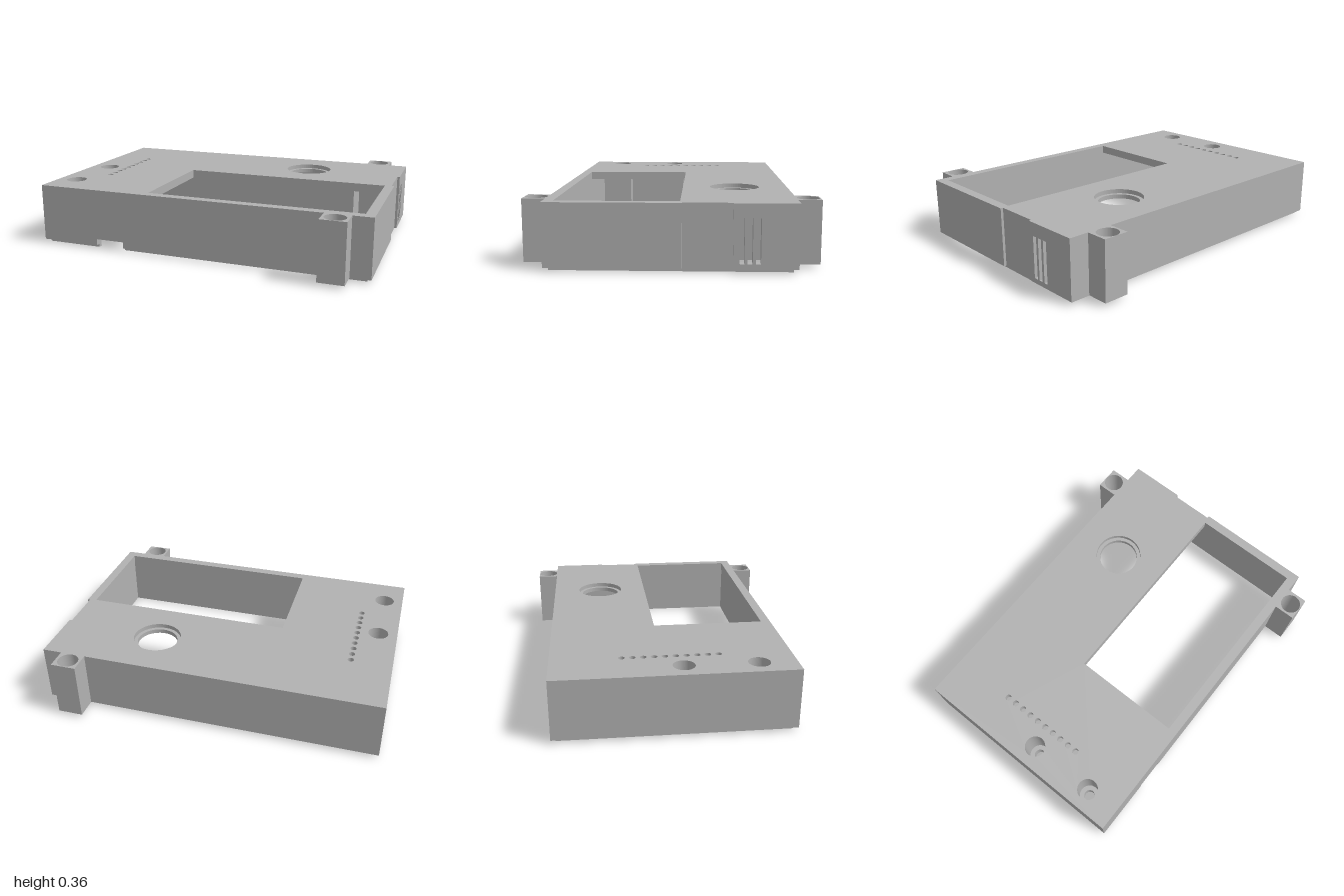
import * as THREE from 'three';

export function createModel() {
  const root = new THREE.Group();
  root.name = 'enclosureLid';
  const grey = new THREE.MeshStandardMaterial({ color: 0xb2b2b2 });
  grey.name = 'plasticGrey';

  const TOP = 0.36, CEIL = 0.31, RIM = 0.02, SEAT = 0.1;

  const add = (name, geo) => {
    const m = new THREE.Mesh(geo, grey);
    m.name = name;
    root.add(m);
    return m;
  };
  const box = (name, x0, x1, y0, y1, z0, z1) =>
    add(name, new THREE.BoxGeometry(x1 - x0, y1 - y0, z1 - z0)
      .translate((x0 + x1) / 2, (y0 + y1) / 2, (z0 + z1) / 2));
  const poly = (pts, Type = THREE.Shape) => new Type(pts.map(p => new THREE.Vector2(...p)));
  const rect = (a0, a1, b0, b1, Type) => poly([[a0, b0], [a1, b0], [a1, b1], [a0, b1]], Type);
  const circle = (x, z, r) => new THREE.Path().absarc(x, -z, r, 0, Math.PI * 2, true);
  const extrude = (shape, depth) =>
    new THREE.ExtrudeGeometry(shape, { depth, bevelEnabled: false, curveSegments: 32 });
  // Plan shapes are drawn as (x, -z) and raised from y0 to y1
  const slab = (name, shape, y0, y1) =>
    add(name, extrude(shape, y1 - y0).rotateX(-Math.PI / 2).translate(0, y0, 0));

  const innerBosses = [[-0.885, 0.05], [-0.885, 0.45]];
  const outerBosses = [[0.81, -0.717], [0.81, 0.717]];

  // Top plate in two layers, so the round opening gets a stepped ledge
  const plate = (name, y0, y1, openingRadius) => {
    const s = poly([[-1, -0.655], [1, -0.655], [1, 0.06], [0.985, 0.06],
      [0.985, 0.32], [1, 0.32], [1, 0.655], [-1, 0.655]]);
    s.holes.push(rect(-0.31, 0.945, -0.6, 0.05, THREE.Path));
    s.holes.push(circle(0.4, -0.35, openingRadius));
    for (const [x, z] of innerBosses) s.holes.push(circle(x, z, 0.06));
    for (let i = 0; i < 10; i++) s.holes.push(circle(-0.76, -0.27 + i * 0.0583, 0.018));
    slab(name, s, y0, y1);
  };
  plate('topPlateUpper', 0.335, TOP, 0.142);
  plate('topPlateLower', CEIL, 0.335, 0.12);

  // Screw bosses with a wide bore above a narrow screw hole
  const boss = (name, x, z, x0, x1, z0, z1, top) => {
    for (const [part, r, y0, y1] of [['Foot', 0.032, RIM, SEAT], ['Sleeve', 0.06, SEAT, top]]) {
      const s = rect(x0, x1, -z1, -z0);
      s.holes.push(circle(x, z, r));
      slab(name + part, s, y0, y1);
    }
  };
  for (const [x, z] of innerBosses)
    boss('innerBoss', x, z, -0.955, -0.82, z - 0.067, z + 0.067, CEIL);
  for (const [x, z] of outerBosses) {
    const edges = [Math.sign(z) * 0.65, Math.sign(z) * 0.78].sort((a, b) => a - b);
    boss('outerBoss', x, z, 0.737, 0.885, ...edges, TOP);
  }

  // Front wall with a cable notch in its lower edge
  add('frontWall', extrude(poly([[-1, RIM], [-0.635, RIM], [-0.635, 0.058], [-0.46, 0.058],
    [-0.46, RIM], [1, RIM], [1, CEIL], [-1, CEIL]]), 0.05).translate(0, 0, 0.605));
  box('backWall', -1, 1, RIM, CEIL, -0.655, -0.605);
  box('rightWall', -1, -0.95, RIM, CEIL, -0.605, 0.605);

  // Left wall: plain part, shallow recess and vented part
  box('leftWall', 0.95, 1, RIM, CEIL, -0.06, 0.605);
  box('leftRecess', 0.95, 0.985, RIM, CEIL, -0.32, -0.06);
  const vent = rect(0.32, 0.605, RIM, CEIL);
  for (const z of [0.364, 0.406, 0.448])
    vent.holes.push(rect(z - 0.013, z + 0.013, 0.048, 0.285, THREE.Path));
  add('leftVentWall', extrude(vent, 0.05).rotateY(Math.PI / 2).translate(0.95, 0, 0));

  // Locating lip below the walls
  box('lipBack', -0.975, 0.975, 0.002, RIM, -0.63, -0.605);
  box('lipFront', -0.975, -0.635, 0.002, RIM, 0.605, 0.63);
  box('lipFront', -0.46, 0.975, 0.002, RIM, 0.605, 0.63);
  for (const s of [-1, 1])
    box('lipSide', s * 0.9625 - 0.0125, s * 0.9625 + 0.0125, 0.002, RIM, -0.605, 0.605);

  // Inner divider, and the post, arm and pin of the press lever
  box('divider', 0.695, 0.715, 0, CEIL, -0.51, -0.31);
  box('leverPost', -0.7, -0.64, 0.045, CEIL, -0.15, -0.07);
  box('leverArm', -0.7, -0.46, 0.045, 0.063, -0.15, -0.07);
  add('leverPin', new THREE.CylinderGeometry(0.025, 0.025, 0.035, 24).translate(-0.485, 0.03, -0.11));

  return root;
}
